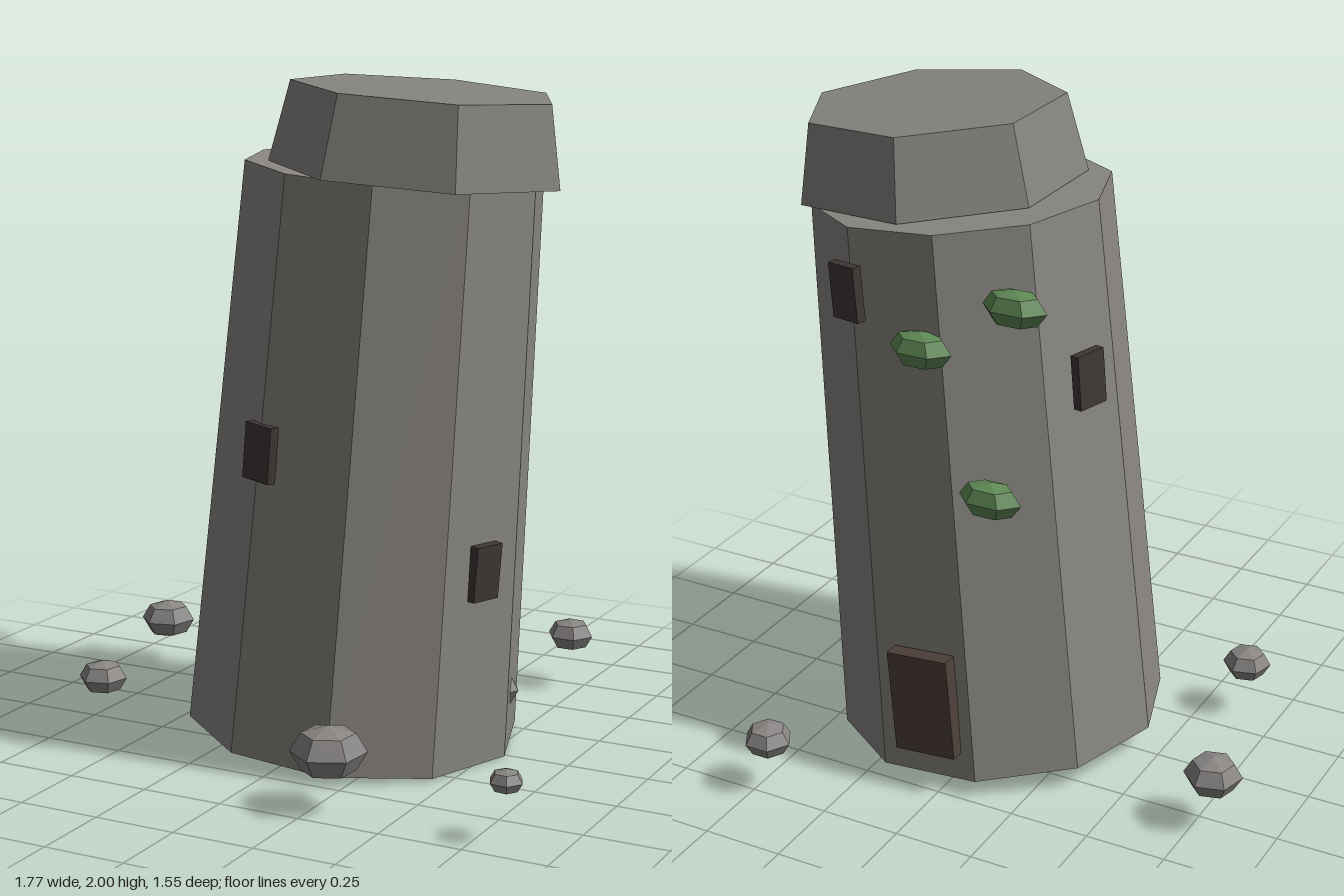
import * as THREE from 'three';

const mat = (color) => new THREE.MeshStandardMaterial({ color, flatShading: true });

export function createModel() {
  const model = new THREE.Group();
  const stone = mat(0x8a8782), capStone = mat(0x85837f), rockMat = mat(0x888583);
  const dark = mat(0x3f3736), wood = mat(0x4e403a), green = mat(0x5f8a55);
  const LEAN = -0.08;

  const add = (parent, name, geometry, material, x, y, z) => {
    const mesh = new THREE.Mesh(geometry, material);
    mesh.name = name;
    mesh.position.set(x, y, z);
    parent.add(mesh);
    return mesh;
  };

  // Leaning ten-sided tower; its openings share the lean
  const tower = new THREE.Group();
  tower.name = 'leaningTower';
  tower.position.set(0.1125, 0.895, 0.01);
  tower.rotation.z = LEAN;
  model.add(tower);
  add(tower, 'towerBody',
    new THREE.CylinderGeometry(0.444, 0.507, 1.705, 10, 1, false, Math.PI / 2), stone, 0, 0, 0);

  // Four windows winding up around the tower
  const windowGeo = new THREE.BoxGeometry(0.105, 0.165, 0.03);
  [-0.255, 0.054, 0.361, 0.67].forEach((y, i) => {
    const a = 1.265 - i * Math.PI / 2;
    const r = 0.472;
    add(tower, 'window', windowGeo, dark, Math.sin(a) * r, y, Math.cos(a) * r).rotation.y = a;
  });

  // Door at the back
  add(tower, 'door', new THREE.BoxGeometry(0.2, 0.325, 0.05), wood, -0.015, -0.6, -0.497);

  // Shifted seven-sided cap
  const cap = add(model, 'cap',
    new THREE.CylinderGeometry(0.39, 0.438, 0.237, 7, 1, false, Math.PI / 2),
    capStone, 0.293, 1.859, 0.063);
  cap.rotation.z = LEAN;

  // Moss clumps on the back wall
  const blob = new THREE.SphereGeometry(1, 6, 4);
  [[-0.23, 1.6, -0.44], [0.07, 1.42, -0.44], [-0.15, 1.0, -0.44]].forEach(([x, y, z]) => {
    add(model, 'moss', blob, green, x, y, z).scale.set(0.1, 0.057, 0.06);
  });

  // Rocks around the base: x, z, radius, turn
  [
    [0.46, -0.72, 0.075, 0],
    [-0.8, -0.275, 0.088, 0.27],
    [-0.635, 0.37, 0.075, 0.27],
    [0.3, 0.66, 0.11, 0.43],
    [0.835, 0.65, 0.05, -0.1],
    [0.459, -0.09, 0.09, 0],
  ].forEach(([x, z, r, turn]) => {
    const rock = add(model, 'rock', blob, rockMat, x, 0.18, z);
    rock.scale.set(r, r * 0.7, r);
    rock.rotation.y = turn;
  });

  return model;
}
